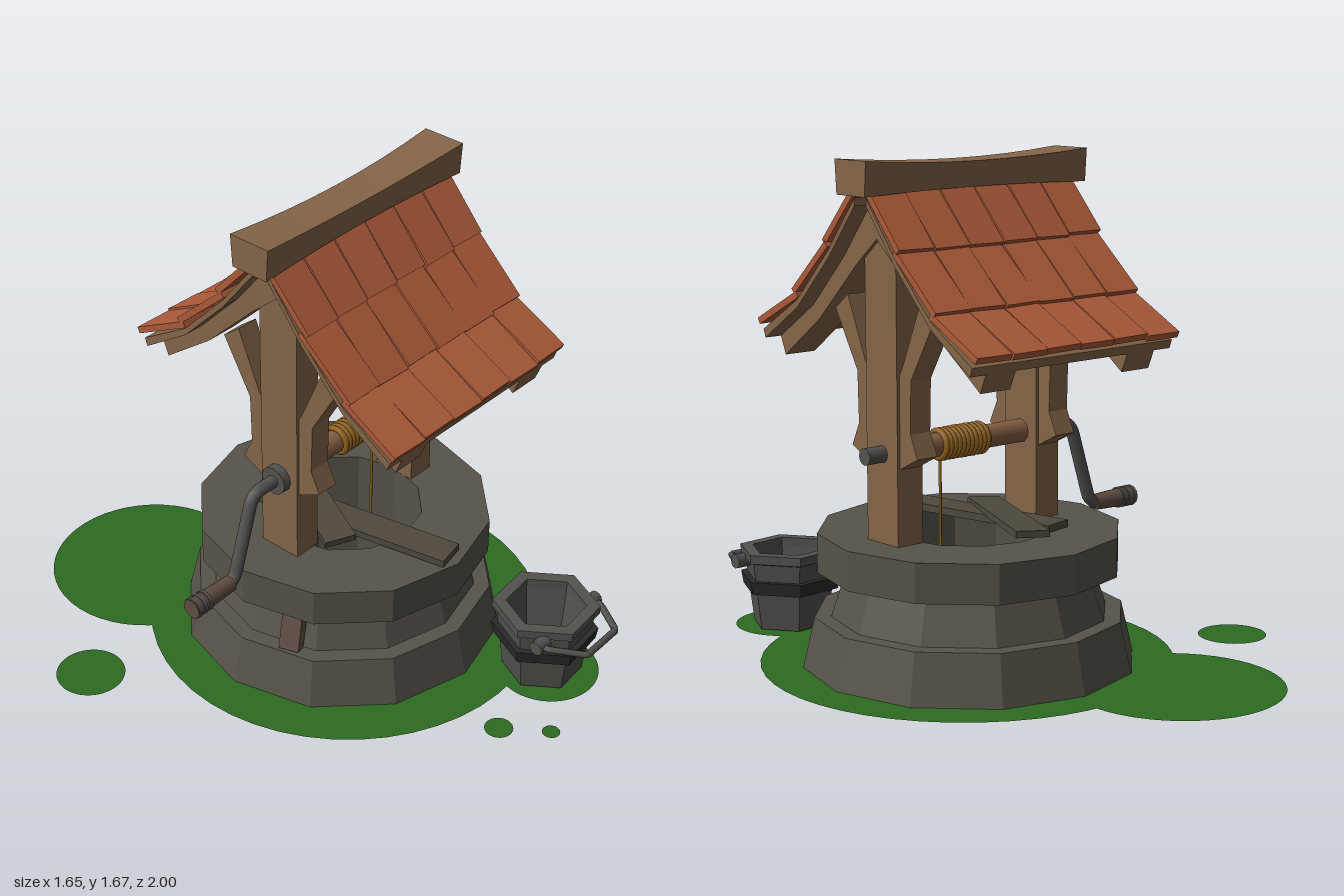
import * as THREE from 'three';

const mat = (name, color) => Object.assign(new THREE.MeshStandardMaterial({ color }), { name });

export function createModel() {
  const root = new THREE.Group();
  root.name = 'well';
  const M = {
    stone: mat('stone', 0x57534a), wood: mat('wood', 0x846548), tile: mat('roof tile', 0xad5b3a),
    grass: mat('grass', 0x2d6b22), metal: mat('metal', 0x53524f), band: mat('dark band', 0x2a2a2a),
    rope: mat('rope', 0x94651c), drum: mat('drum wood', 0x855f43), plank: mat('old plank', 0x4f493f),
    grip: mat('grip', 0x5f4d43),
  };
  M.grass.side = THREE.DoubleSide;
  const ZC = 0.025; // ridge line and axle plane

  // Faceted normals, name and placement
  const add = (name, geo, m, pos = [0, 0, 0], rot = [0, 0, 0], flat = true) => {
    const g = flat && geo.index ? geo.toNonIndexed() : geo;
    if (flat) g.computeVertexNormals();
    const mesh = new THREE.Mesh(g, m);
    mesh.name = name;
    mesh.position.set(...pos);
    mesh.rotation.set(...rot);
    root.add(mesh);
    return mesh;
  };
  const box = (name, m, size, pos, rot) => add(name, new THREE.BoxGeometry(...size), m, pos, rot);
  const lathe = (pts, n) => new THREE.LatheGeometry(pts.map(p => new THREE.Vector2(...p)), n);
  // Cylinder along x
  const rod = (name, m, x0, x1, r, y, z = ZC, r1 = r) =>
    add(name, new THREE.CylinderGeometry(r1, r, x1 - x0, 12), m, [(x0 + x1) / 2, y, z], [0, 0, -Math.PI / 2], false);
  // Side profile of [distance from ridge line, y], swept along x on side s
  const profile = (name, m, pts, s, x0, x1) => {
    const shape = new THREE.Shape(pts.map(([d, y]) => new THREE.Vector2(-(ZC + s * d), y)));
    const geo = new THREE.ExtrudeGeometry(shape, { depth: x1 - x0, bevelEnabled: false });
    geo.rotateY(Math.PI / 2);
    return add(name, geo, m, [x0, 0, 0]);
  };
  let seed = 7;
  const rand = () => (seed = (seed * 16807) % 2147483647) / 2147483647 - 0.5;

  // Grass patches
  [[0.135, 0.035, 0.685], [-0.155, -0.65, 0.35], [-0.71, -0.375, 0.117], [0.35, 0.76, 0.175],
    [0, 0.825, 0.048], [0.1, 0.965, 0.03]].forEach(([x, z, r], i) =>
    add('grassPatch', new THREE.CircleGeometry(r, 48), M.grass, [x, 0.003 + i * 0.0005, z], [-Math.PI / 2, 0, 0]));

  // Stepped stone wall with the shaft
  add('stoneWall', lathe([[0.27, 0], [0.555, 0], [0.515, 0.17], [0.46, 0.17], [0.41, 0.32], [0.503, 0.32],
    [0.503, 0.45], [0.27, 0.45], [0.27, 0.02], [0, 0.02]], 12), M.stone, [0.14, 0, 0.017]);
  box('looseBoard', M.grip, [0.05, 0.14, 0.07], [-0.285, 0.24, 0.17], [0, 0.35, -0.28]);

  // Planks lying over the shaft
  box('plank', M.plank, [0.11, 0.025, 0.75], [0.06, 0.472, 0.125], [0, 0.2, 0]);
  box('plank', M.plank, [0.11, 0.022, 0.6], [0.07, 0.492, -0.09], [0.04, -0.45, 0.05]);

  // Posts with rafters and braces
  const rafter = [[0, 1.55], [0.03, 1.525], [0.165, 1.355], [0.335, 1.18], [0.515, 1.06],
    [0.49, 1.0], [0.3, 1.14], [0.1, 1.335], [0, 1.42]];
  const brace = [[0.078, 0.70], [0.165, 0.745], [0.13, 0.82], [0.135, 0.99], [0.245, 1.18],
    [0.18, 1.23], [0.095, 1.03], [0.078, 1.0]];
  for (const x of [-0.14, 0.445]) {
    box('post', M.wood, [0.1, 1.0, 0.155], [x, 0.95, ZC]);
    for (const s of [-1, 1]) {
      profile('rafter', M.wood, rafter, s, x - 0.055, x + 0.063);
      profile('brace', M.wood, brace, s, x - 0.04, x + 0.04);
    }
  }

  // Roof boards and overlapping tiles
  const line = [[0.03, 1.55], [0.165, 1.38], [0.335, 1.205], [0.525, 1.088]];
  const boards = [...line, [0.515, 1.06], [0.335, 1.18], [0.165, 1.355], [0.03, 1.525]];
  const cols = 6, x0 = -0.27, w = 0.845 / cols;
  for (const s of [-1, 1]) {
    profile('roofBoards', M.wood, boards, s, -0.265, 0.57);
    for (let r = 0; r < 3; r++) {
      const [d0, y0] = line[r], [d1, y1] = line[r + 1];
      const len = Math.hypot(d1 - d0, y1 - y0) + 0.015;
      const slope = Math.atan2(y0 - y1, d1 - d0);
      for (let c = 0; c < cols; c++) {
        const tile = box('roofTile', M.tile, [w - 0.003, 0.022, len + rand() * 0.015],
          [x0 + (c + 0.5) * w, (y0 + y1) / 2 + 0.02 + rand() * 0.006, ZC + s * ((d0 + d1) / 2 + 0.012)],
          [s * (slope - 0.07), 0, 0]);
        tile.rotateY(rand() * 0.06);
        tile.rotateZ(rand() * 0.06);
      }
    }
  }

  // Sagging ridge beam, slimmer at the middle
  const ridge = new THREE.BoxGeometry(0.92, 0.11, 0.155, 8, 1, 1);
  const p = ridge.attributes.position;
  for (let i = 0; i < p.count; i++) {
    const t = (p.getX(i) / 0.46) ** 2, top = p.getY(i) > 0;
    p.setY(i, p.getY(i) + (1 - t) * (top ? -0.02 : 0.008));
    p.setZ(i, p.getZ(i) * (0.85 + 0.15 * t) * (top ? 1 : 0.9));
  }
  add('ridgeBeam', ridge, M.wood, [0.15, 1.615, 0.022]);

  // Windlass: axle, drum, coil and hanging rope
  rod('axle', M.metal, -0.22, 0.565, 0.028, 0.74);
  rod('axleCollar', M.metal, -0.22, -0.19, 0.05, 0.74);
  rod('drum', M.drum, -0.09, 0.39, 0.04, 0.74);
  for (let i = 0; i < 11; i++)
    add('ropeCoil', new THREE.TorusGeometry(0.045, 0.0105, 6, 20), M.rope,
      [0.09 + i * 0.0175, 0.74, ZC], [0, Math.PI / 2, 0.0], false);
  add('hangingRope', new THREE.CylinderGeometry(0.005, 0.005, 0.4, 6), M.rope, [0.22, 0.52, ZC + 0.045], [0, 0, 0], false);

  // Crank with its grip
  const v = pts => pts.map(q => new THREE.Vector3(...q));
  const path = new THREE.CurvePath();
  const c = v([[-0.2, 0.74, ZC], [-0.28, 0.74, ZC], [-0.315, 0.74, ZC], [-0.33, 0.7, ZC],
    [-0.4, 0.48, ZC], [-0.412, 0.44, ZC], [-0.45, 0.44, ZC]]);
  path.add(new THREE.LineCurve3(c[0], c[1]));
  path.add(new THREE.QuadraticBezierCurve3(c[1], c[2], c[3]));
  path.add(new THREE.LineCurve3(c[3], c[4]));
  path.add(new THREE.QuadraticBezierCurve3(c[4], c[5], c[6]));
  add('crankArm', new THREE.TubeGeometry(path, 32, 0.022, 8), M.metal, [0, 0, 0], [0, 0, 0], false);
  rod('crankGrip', M.grip, -0.61, -0.43, 0.035, 0.442, ZC, 0.028);
  for (const x of [-0.6, -0.575, -0.55]) rod('gripRing', M.metal, x - 0.006, x + 0.006, 0.037, 0.442);

  // Six-sided bucket with rim, band and lowered handle
  const bp = [0.345, 0, 0.74], br = [0, Math.PI / 2 + 0.1, 0];
  add('bucket', lathe([[0.11, 0.01], [0.135, 0.01], [0.165, 0.245], [0.18, 0.25], [0.18, 0.28], [0.135, 0.28],
    [0.135, 0.25], [0.11, 0.01]], 6), M.metal, bp, br);
  add('bucketBand', lathe([[0.14, 0.14], [0.172, 0.14], [0.18, 0.185], [0.14, 0.185]], 6), M.band, bp, br);
  const hp = v([[0.185, 0.24, 0.83], [0.2, 0.24, 0.87], [0.275, 0.225, 0.965], [0.44, 0.225, 0.96],
    [0.495, 0.24, 0.86], [0.505, 0.24, 0.82]]);
  const hc = new THREE.CurvePath();
  for (let i = 0; i < 5; i++) hc.add(new THREE.LineCurve3(hp[i], hp[i + 1]));
  add('bucketHandle', new THREE.TubeGeometry(hc, 40, 0.012, 6), M.metal, [0, 0, 0], [0, 0, 0], false);
  rod('handleEar', M.metal, 0.17, 0.225, 0.025, 0.24, 0.83);
  rod('handleEar', M.metal, 0.465, 0.52, 0.025, 0.24, 0.82);

  return root;
}
